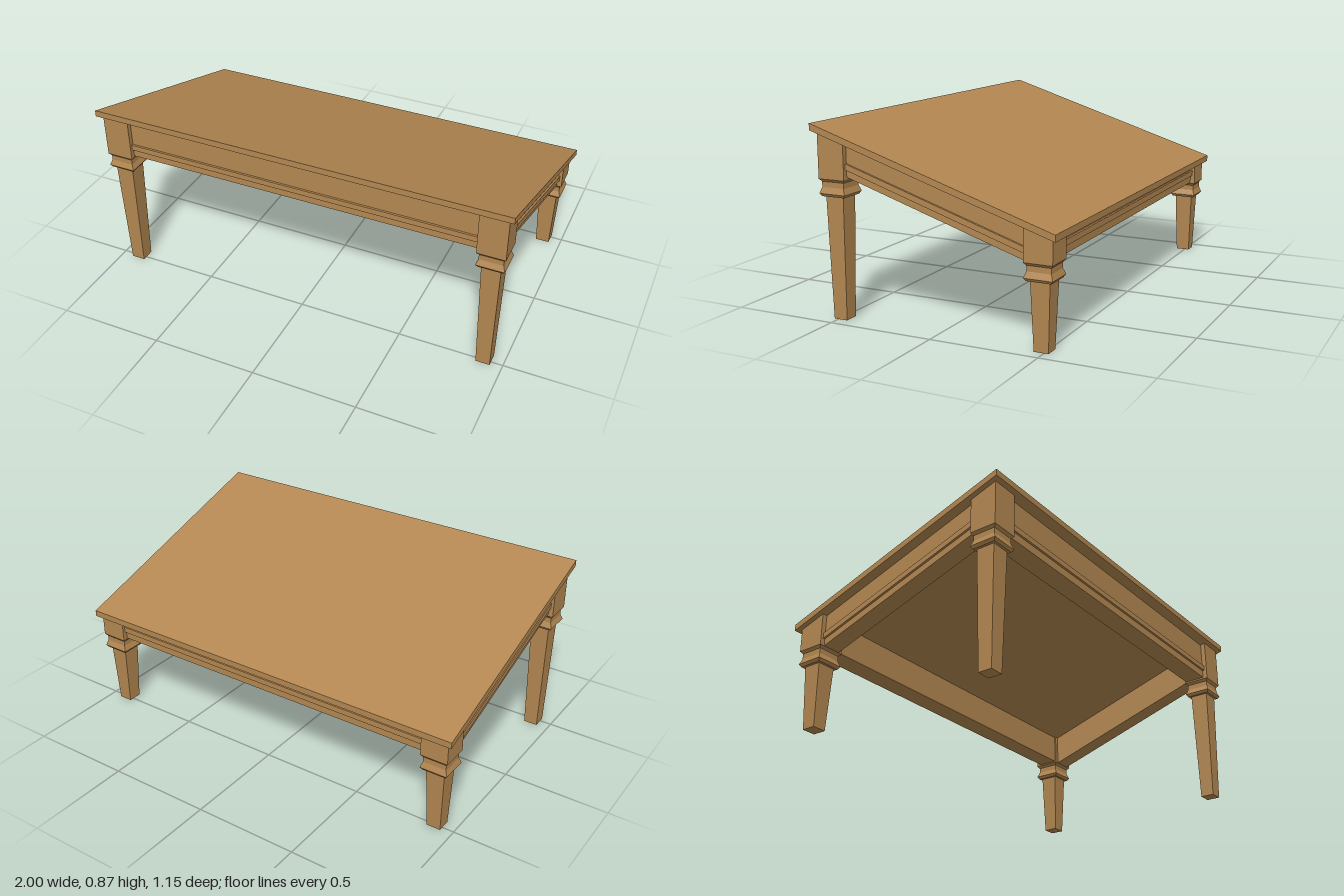
import * as THREE from 'three';

const SLOPE = 0.316;                       // rise of the top per unit of z
const UNDERSIDE = 0.662;                   // height of the top's underside at z = 0
const under = (z) => UNDERSIDE + SLOPE * z;

// Moves vertices by a rule and gives the result crisp flat faces.
function reshape(geometry, rule) {
  const p = geometry.attributes.position;
  for (let i = 0; i < p.count; i++) p.setY(i, rule(p.getX(i), p.getY(i), p.getZ(i)));
  const flat = geometry.index ? geometry.toNonIndexed() : geometry;
  flat.computeVertexNormals();
  return flat;
}

// Box between two corners, optionally sheared along the slope.
function slab(x0, x1, y0, y1, z0, z1, rule = (x, y) => y) {
  const g = new THREE.BoxGeometry(x1 - x0, y1 - y0, z1 - z0);
  g.translate((x0 + x1) / 2, (y0 + y1) / 2, (z0 + z1) / 2);
  return reshape(g, rule);
}

// Square leg: tapered foot, flared collar, neck and block cut to the slope.
function legGeometry(x, z, blockBottom) {
  const b = blockBottom;
  const profile = [
    [0, 0], [0.033, 0], [0.044, b - 0.085], [0.056, b - 0.085], [0.065, b - 0.072],
    [0.055, b - 0.045], [0.055, b - 0.02], [0.065, b - 0.008], [0.065, 2],
  ].map(([r, y]) => new THREE.Vector2(r * Math.SQRT2, y));
  const g = new THREE.LatheGeometry(profile, 4);
  g.rotateY(Math.PI / 4);
  g.translate(x, 0, z);
  return reshape(g, (px, py, pz) => (py > 1.5 ? under(pz) : py));
}

export function createModel() {
  const group = new THREE.Group();
  const wood = new THREE.MeshStandardMaterial({ color: 0xb38751 });
  wood.name = 'warm wood';
  const add = (name, geometry) => {
    const mesh = new THREE.Mesh(geometry, wood);
    mesh.name = name;
    group.add(mesh);
  };
  const shear = (x, y, z) => y + SLOPE * z;

  // Sloping top
  add('tableTop', slab(-1, 1, UNDERSIDE, UNDERSIDE + 0.03, -0.575, 0.575, shear));

  // Legs
  for (const [side, sx] of [['Left', 1], ['Right', -1]]) {
    add('front' + side + 'Leg', legGeometry(sx * 0.911, 0.488, 0.64));
    add('back' + side + 'Leg', legGeometry(sx * 0.911, -0.488, 0.385));
  }

  // Front and back aprons: level below, cut to the slope above, with a bead
  for (const [end, sz, bottom] of [['front', 1, 0.64], ['back', -1, 0.383]]) {
    const [z0, z1] = [sz * 0.43, sz * 0.53].sort((a, b) => a - b);
    add(end + 'Apron', slab(-0.85, 0.85, bottom, 2, z0, z1,
      (x, y, z) => (y > 1.5 ? under(z) : y)));
    const [b0, b1] = [sz * 0.525, sz * 0.54].sort((a, b) => a - b);
    add(end + 'Bead', slab(-0.85, 0.85, bottom + 0.038, bottom + 0.065, b0, b1));
  }

  // Side aprons and beads follow the slope
  for (const [side, sx] of [['left', 1], ['right', -1]]) {
    const [x0, x1] = [sx * 0.865, sx * 0.953].sort((a, b) => a - b);
    add(side + 'Apron', slab(x0, x1, 0.511, UNDERSIDE, -0.43, 0.43, shear));
    const [b0, b1] = [sx * 0.948, sx * 0.963].sort((a, b) => a - b);
    add(side + 'Bead', slab(b0, b1, 0.544, 0.571, -0.43, 0.43, shear));
  }
  return group;
}
